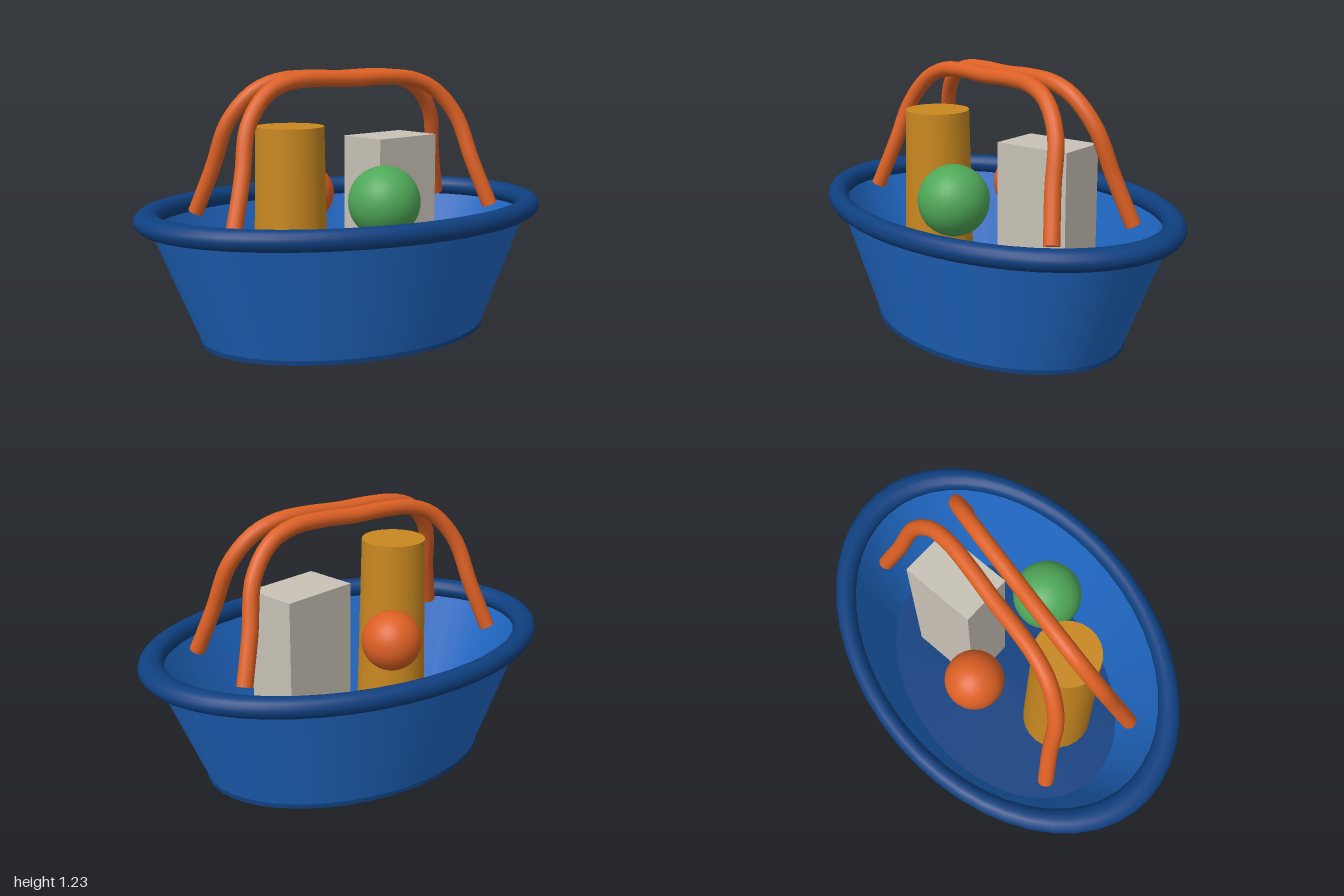
import * as THREE from 'three';

const mat = (name, color, side = THREE.FrontSide) => {
  const m = new THREE.MeshStandardMaterial({ color, side });
  m.name = name;
  return m;
};

export function createModel() {
  const model = new THREE.Group();
  model.name = 'basket';
  const blue = mat('blue', 0x2068c4, THREE.DoubleSide);
  const navy = mat('navy', 0x0f4080);
  const orange = mat('orange', 0xdc6024);
  const amber = mat('amber', 0xc98820);
  const green = mat('green', 0x4fa858);
  const stone = mat('stone', 0xc8c2b6);

  const add = (name, geometry, material, x = 0, y = 0, z = 0) => {
    const mesh = new THREE.Mesh(geometry, material);
    mesh.name = name;
    mesh.position.set(x, y, z);
    model.add(mesh);
    return mesh;
  };

  // Oval tub: flared thin wall, floor plate and rolled rim
  const oval = 0.695;
  const wall = new THREE.CylinderGeometry(0.94, 0.705, 0.57, 48, 1, true);
  add('wall', wall.scale(1, 1, oval), blue, 0, 0.295, 0);
  const floor = new THREE.CylinderGeometry(0.71, 0.71, 0.02, 48);
  add('floor', floor.scale(1, 1, oval + 0.005), navy, 0, 0.01, 0);
  const rim = new THREE.TorusGeometry(0.94, 0.06, 16, 48).rotateX(Math.PI / 2);
  add('rim', rim.scale(1, 0.78, oval), navy, 0, 0.58, 0);

  // Two bent handles leaning towards each other
  const half = [[0.655, 0.58], [0.59, 0.79], [0.535, 1.0], [0.43, 1.13], [0.31, 1.18], [0.16, 1.19]];
  const outline = [
    ...half.map(([x, y]) => [-x, y]),
    [0, 1.185],
    ...half.slice().reverse(),
  ];
  const tubeRadius = 0.036;
  for (const side of [1, -1]) {
    const points = outline.map(([x, y]) =>
      new THREE.Vector3(x, y, side * (0.061 + (1.19 - y) * 0.287)));
    const path = new THREE.CatmullRomCurve3(points);
    const name = side > 0 ? 'frontHandle' : 'backHandle';
    add(name, new THREE.TubeGeometry(path, 48, tubeRadius, 14), orange);
    // End caps
    for (const t of [0, 1]) {
      const p = path.getPointAt(t);
      const outward = path.getTangentAt(t).multiplyScalar(t ? 1 : -1);
      const cap = add(name + 'Cap', new THREE.CircleGeometry(tubeRadius, 14), orange, p.x, p.y, p.z);
      cap.quaternion.setFromUnitVectors(new THREE.Vector3(0, 0, 1), outward);
    }
  }

  // Contents
  add('canister', new THREE.CylinderGeometry(0.152, 0.172, 0.97, 24), amber, -0.33, 0.505, 0.097);
  add('carton', new THREE.BoxGeometry(0.37, 0.885, 0.25), stone, 0.28, 0.4625, -0.068).rotation.y = 0.235;
  add('greenBall', new THREE.SphereGeometry(0.162, 32, 20), green, 0.045, 0.65, 0.28);
  add('orangeBall', new THREE.SphereGeometry(0.138, 32, 20), orange, -0.095, 0.627, -0.235);

  return model;
}
